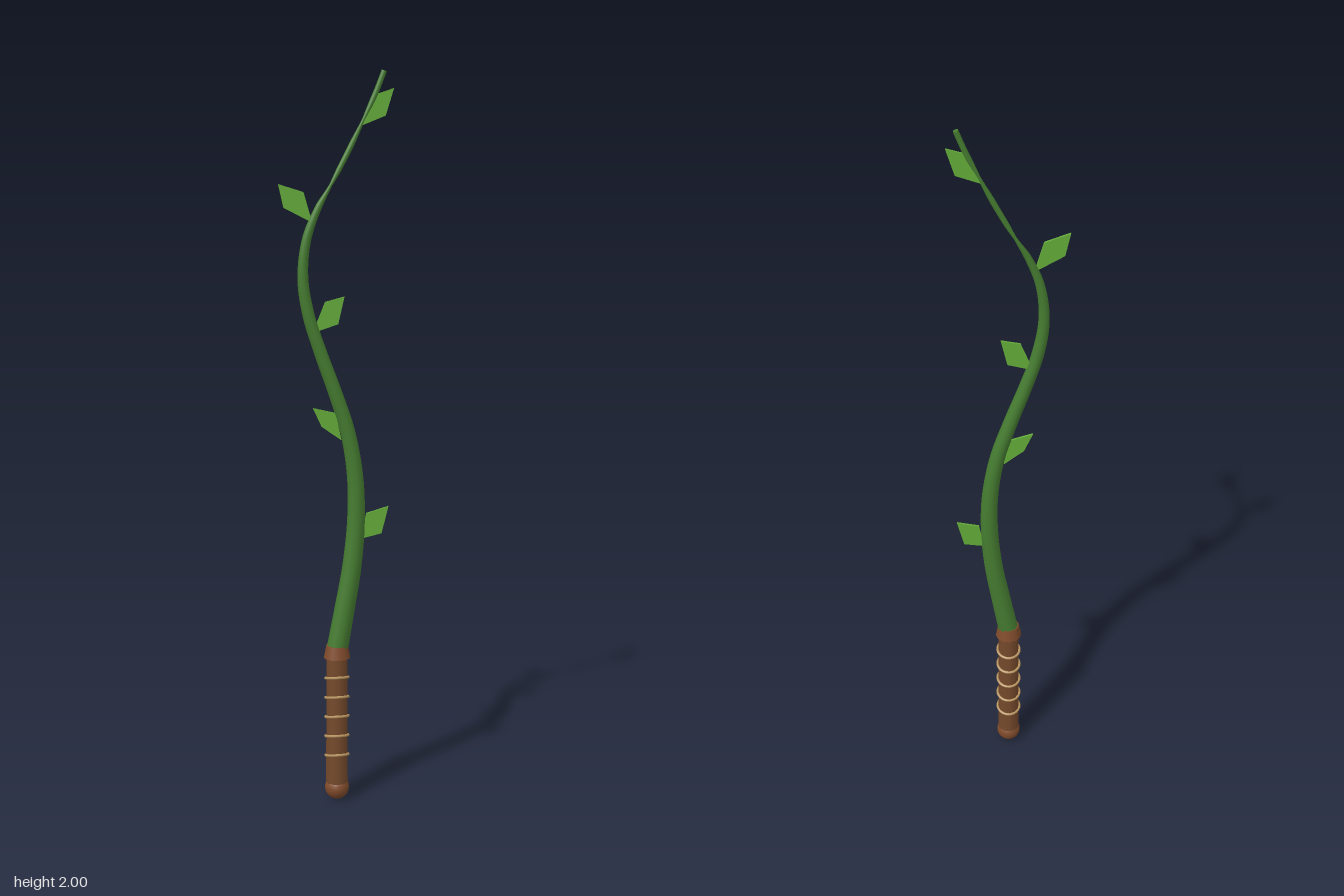
import * as THREE from 'three';

const material = (name, color) => {
  const m = new THREE.MeshStandardMaterial({ color });
  m.name = name;
  return m;
};

export function createModel() {
  const model = new THREE.Group();
  model.name = 'vineWhip';
  const stemGreen = material('stem green', 0x467d31);
  const leafGreen = material('leaf green', 0x64ac3a);
  const wood = material('handle brown', 0x74492b);
  const trim = material('trim brown', 0x804b2b);
  const cord = material('cord tan', 0xb8945f);

  const add = (name, geometry, mat, y = 0) => {
    const mesh = new THREE.Mesh(geometry, mat);
    mesh.name = name;
    mesh.position.y = y;
    model.add(mesh);
    return mesh;
  };

  // Handle with pommel and collar
  add('pommel', new THREE.SphereGeometry(0.034, 16, 12), trim, 0.034);
  add('handle', new THREE.CylinderGeometry(0.029, 0.031, 0.37, 12), wood, 0.235);
  add('collar', new THREE.CylinderGeometry(0.03, 0.037, 0.035, 12), trim, 0.428);

  // Tilted cord rings round the grip
  for (let i = 0; i < 5; i++) {
    const ring = add('cordRing', new THREE.TorusGeometry(0.032, 0.004, 6, 20), cord, 0.128 + i * 0.056);
    ring.rotation.x = Math.PI / 2 - 0.27;
  }

  // Stem: x, y of the centre line
  const path = new THREE.CatmullRomCurve3([
    [0, 0.43], [0.02, 0.54], [0.042, 0.67], [0.053, 0.8], [0.05, 0.92], [0.03, 1.04],
    [-0.005, 1.15], [-0.045, 1.26], [-0.077, 1.36], [-0.092, 1.46], [-0.082, 1.56],
    [-0.052, 1.64], [-0.018, 1.7], [0.025, 1.78], [0.07, 1.87], [0.103, 1.94], [0.126, 1.998],
  ].map(([x, y]) => new THREE.Vector3(x, y, 0)));
  // Radius by height, pinched twice near the tip
  const radii = [[0.4, 0.03], [0.7, 0.026], [1, 0.021], [1.4, 0.016], [1.58, 0.012], [1.65, 0.009],
    [1.7, 0.004], [1.74, 0.007], [1.81, 0.0075], [1.87, 0.004], [1.92, 0.0075], [2.1, 0.007]];
  const radiusAt = (y) => {
    const k = Math.max(1, radii.findIndex(([h]) => h >= y));
    const [y0, r0] = radii[k - 1];
    const [y1, r1] = radii[k];
    return THREE.MathUtils.mapLinear(y, y0, y1, r0, r1);
  };
  const rings = 110, sides = 10;
  const tube = new THREE.TubeGeometry(path, rings, 1, sides);
  const pos = tube.attributes.position;
  const v = new THREE.Vector3();
  for (let i = 0; i < pos.count; i++) {
    const centre = path.getPointAt(Math.floor(i / (sides + 1)) / rings);
    v.fromBufferAttribute(pos, i).sub(centre).multiplyScalar(radiusAt(centre.y)).add(centre);
    pos.setXYZ(i, v.x, v.y, v.z);
  }
  add('stem', tube, stemGreen);
  const tip = add('stemTip', new THREE.CircleGeometry(0.007, sides), stemGreen);
  tip.position.copy(path.getPointAt(1));
  tip.lookAt(path.getPointAt(1).add(path.getTangentAt(1)));

  // Leaves: base, outer corner, tip, inner corner
  const leaves = [
    [[0.068, 0.745], [0.124, 0.757], [0.143, 0.832], [0.082, 0.815]],
    [[0.012, 1.02], [-0.004, 1.095], [-0.066, 1.11], [-0.042, 1.058]],
    [[-0.065, 1.313], [0.003, 1.335], [0.02, 1.408], [-0.032, 1.395]],
    [[-0.067, 1.605], [-0.09, 1.685], [-0.157, 1.706], [-0.143, 1.644]],
    [[0.062, 1.855], [0.13, 1.882], [0.152, 1.953], [0.106, 1.938]],
  ];
  for (const corners of leaves) {
    const shape = new THREE.Shape(corners.map(([x, y]) => new THREE.Vector2(x, y)));
    const leaf = add('leaf', new THREE.ExtrudeGeometry(shape, { depth: 0.006, bevelEnabled: false }), leafGreen);
    leaf.position.z = -0.003;
  }
  return model;
}
